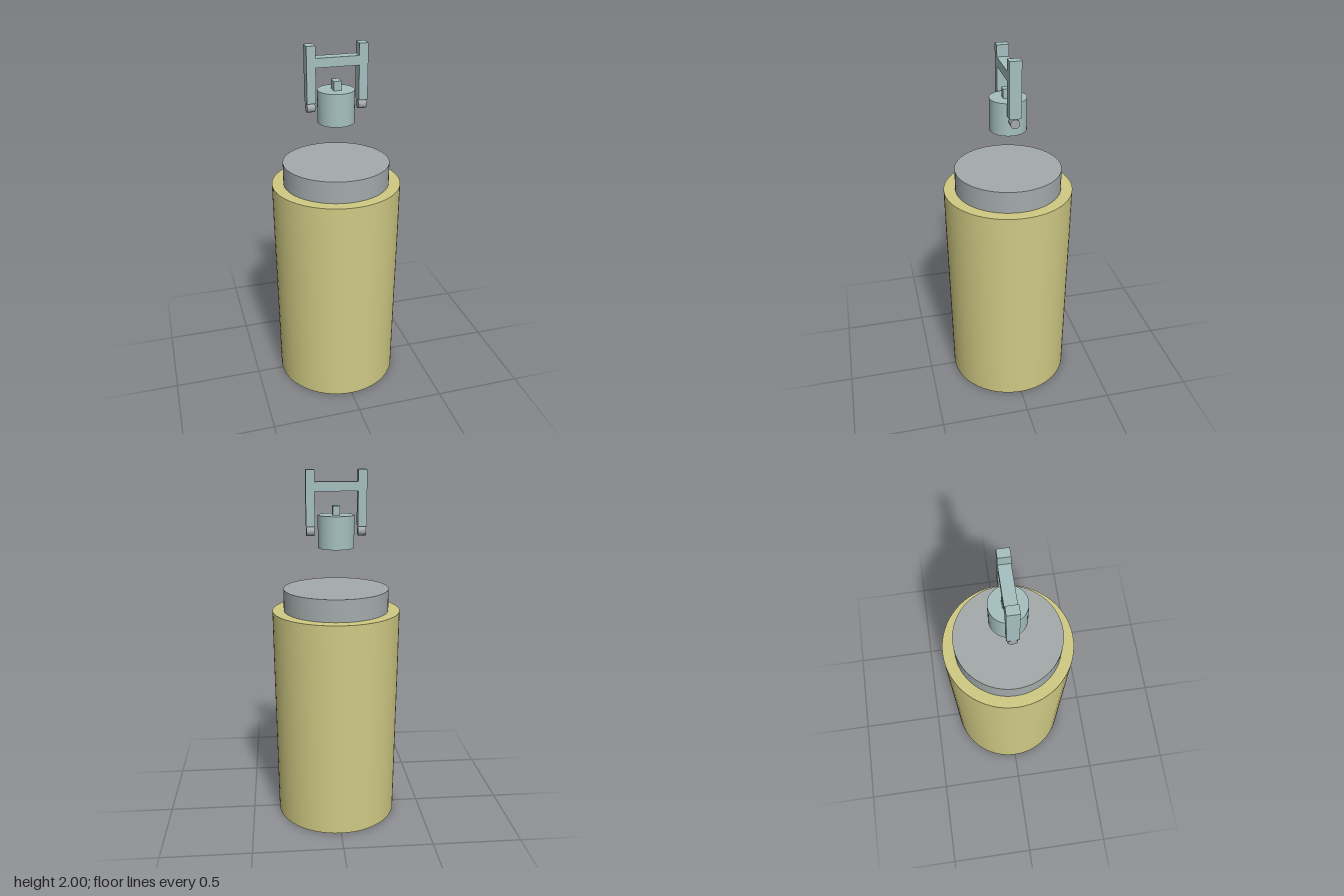
import * as THREE from 'three';
import { toCreasedNormals } from 'three/addons/utils/BufferGeometryUtils.js';

const mat = (color) => new THREE.MeshStandardMaterial({ color });

function addMesh(parent, name, geometry, material, x = 0, y = 0, z = 0) {
  const mesh = new THREE.Mesh(geometry, material);
  mesh.name = name;
  mesh.position.set(x, y, z);
  parent.add(mesh);
  return mesh;
}

export function createModel() {
  const model = new THREE.Group();
  model.name = 'canister';
  const shell = mat(0xd0ca84);
  const grey = mat(0xa4abab);
  const steel = mat(0xa6bfbf);

  // Body: closed flat base, slightly flared wall and flat shoulder
  const profile = [
    [0, 0], [0.347, 0], [0.353, 0.6], [0.356, 0.85], [0.357, 0.95], [0.359, 1.232], [0, 1.232],
  ].map(([r, y]) => new THREE.Vector2(r, y));
  const body = toCreasedNormals(new THREE.LatheGeometry(profile, 64), 0.6);
  addMesh(model, 'body', body, shell);

  // Lid resting on the shoulder
  addMesh(model, 'lid', new THREE.CylinderGeometry(0.295, 0.295, 0.125, 64), grey, 0, 1.2925);

  // Floating plug with its small tab
  const plug = new THREE.Group();
  plug.name = 'plug';
  model.add(plug);
  addMesh(plug, 'plugBody', new THREE.CylinderGeometry(0.1, 0.1, 0.178, 48), steel, 0, 1.671);
  addMesh(plug, 'plugTab', new THREE.BoxGeometry(0.04, 0.05, 0.06), steel, 0, 1.785);

  // Handle: two arms, a crossbar and a pin below each arm
  const handle = new THREE.Group();
  handle.name = 'handle';
  model.add(handle);
  addMesh(handle, 'crossbar', new THREE.BoxGeometry(0.234, 0.05, 0.064), steel, 0, 1.912);
  for (const [side, s] of [['left', 1], ['right', -1]]) {
    addMesh(handle, side + 'Arm', new THREE.BoxGeometry(0.048, 0.3, 0.064), steel, s * 0.141, 1.85);
    const pin = addMesh(handle, side + 'Pin', new THREE.CylinderGeometry(0.025, 0.025, 0.044, 24), grey, s * 0.141, 1.672);
    pin.rotation.z = Math.PI / 2;
  }
  return model;
}
